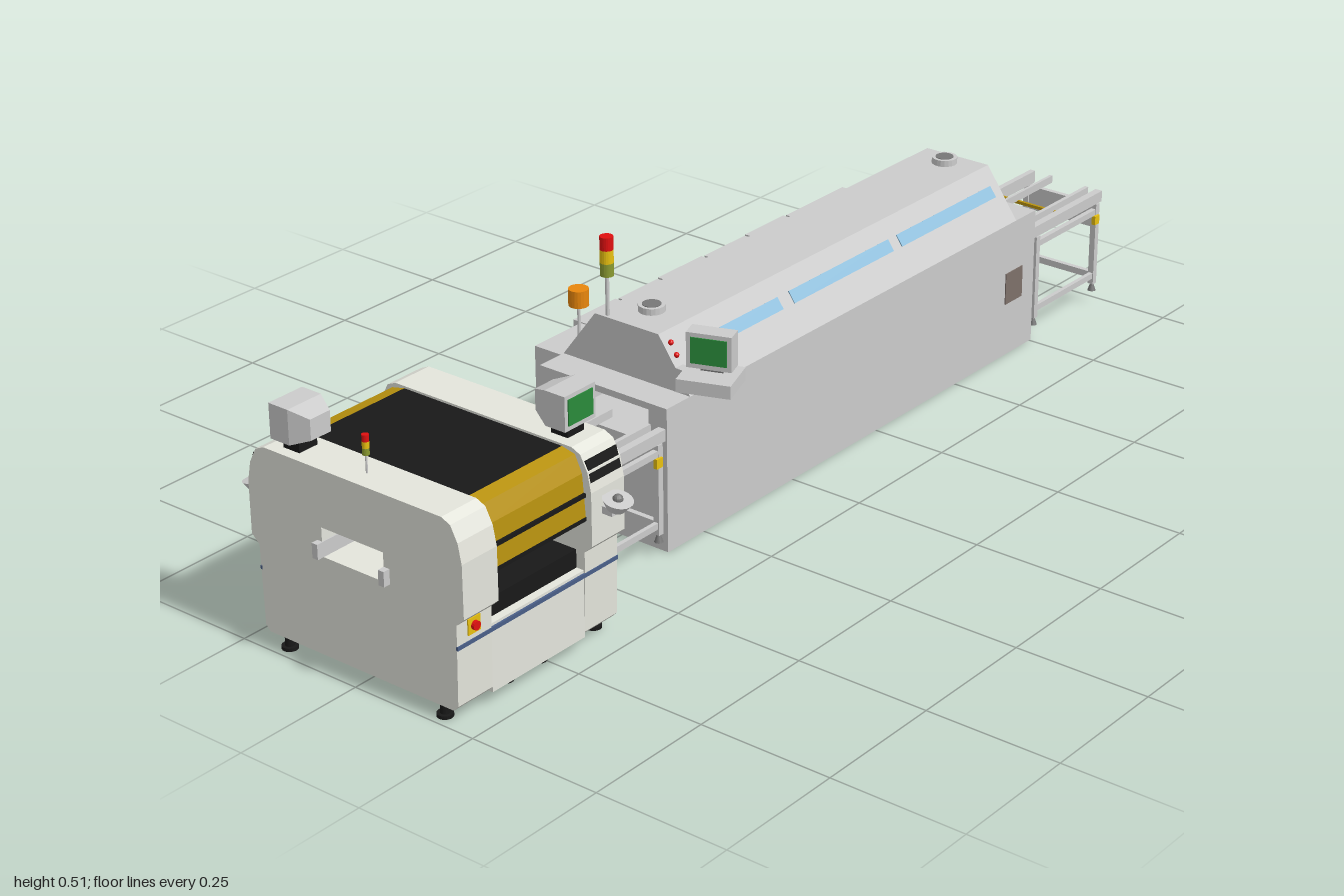
import * as THREE from 'three';

const mat = (color) => new THREE.MeshStandardMaterial({ color, flatShading: true, side: THREE.DoubleSide });
const M = {
  grey: mat(0xcccccc), shell: mat(0xe4e5dc), black: mat(0x181818), gold: mat(0xb8920f), blue: mat(0x8fbfdc),
  navy: mat(0x4a5f88), green: mat(0x2a8a3a), red: mat(0xe01010), yellow: mat(0xe8c010), olive: mat(0x8a9a30),
  orange: mat(0xe8860c), brown: mat(0x7d706a), dark: mat(0x777777),
};

function add(parent, name, geo, material, x = 0, y = 0, z = 0) {
  const m = new THREE.Mesh(geo, material);
  m.name = name;
  m.position.set(x, y, z);
  parent.add(m);
  return m;
}
// Box given by its extents
const box = (p, name, m, x0, x1, y0, y1, z0, z1) =>
  add(p, name, new THREE.BoxGeometry(x1 - x0, y1 - y0, z1 - z0), m, (x0 + x1) / 2, (y0 + y1) / 2, (z0 + z1) / 2);
// Upright cylinder from y0 to y1
const rod = (p, name, m, r, x, y0, y1, z, r2 = r) =>
  add(p, name, new THREE.CylinderGeometry(r2, r, y1 - y0, 20), m, x, (y0 + y1) / 2, z);
// [z, y] profile extruded along x, with optional holes
function prism(p, name, m, x0, x1, pts, holes = []) {
  const v = (a) => a.map(([z, y]) => new THREE.Vector2(-z, y));
  const s = new THREE.Shape(v(pts));
  holes.forEach((h) => s.holes.push(new THREE.Path(v(h))));
  const g = new THREE.ExtrudeGeometry(s, { depth: x1 - x0, bevelEnabled: false });
  g.rotateY(Math.PI / 2);
  return add(p, name, g, m, x0);
}
const rect = (z0, z1, y0, y1) => [[z0, y0], [z1, y0], [z1, y1], [z0, y1]];

function group(parent, name) {
  const g = new THREE.Group();
  g.name = name;
  parent.add(g);
  return g;
}

// Pole with stacked red, yellow and green lamps
function signalTower(parent, x, z, yBase, y0, y1, r) {
  const g = group(parent, 'signalTower');
  rod(g, 'pole', M.grey, r * 0.3, x, yBase, y0, z);
  const h = (y1 - y0) / 3;
  [M.olive, M.yellow, M.red].forEach((m, i) => rod(g, 'lamp', m, r, x, y0 + i * h, y0 + (i + 1) * h, z));
}

// Deep monitor facing +z, tapering to the back
function monitor(parent, name, w, h, d) {
  const g = group(parent, name);
  box(g, 'monitorCase', M.grey, -w / 2, w / 2, -h / 2, h / 2, -d * 0.55, 0);
  const back = new THREE.CylinderGeometry(0.42, Math.SQRT1_2, 1, 4, 1).rotateY(Math.PI / 4).rotateX(-Math.PI / 2);
  add(g, 'monitorBack', back, M.grey, 0, 0, -d * 0.775).scale.set(w, h, d * 0.45);
  box(g, 'screen', M.green, -w * 0.4, w * 0.4, -h * 0.36, h * 0.38, 0, 0.002);
  return g;
}

function conveyor(parent, x0, x1, endX) {
  const g = group(parent, 'conveyor');
  box(g, 'wideRail', M.grey, x0, x1, 0.21, 0.232, 0.085, 0.1);
  box(g, 'innerRail', M.grey, x0, x1, 0.21, 0.232, 0.06, 0.068);
  box(g, 'backRail', M.grey, x0, x1, 0.21, 0.235, -0.068, -0.057);
  box(g, 'guideRail', M.grey, x0, x1, 0.22, 0.235, -0.022, -0.016);
  box(g, 'endPanel', M.grey, endX - 0.004, endX + 0.004, 0.16, 0.21, -0.065, 0.1);
  for (const z of [-0.063, 0.096]) {
    box(g, 'lowerRail', M.grey, x0 + 0.01, x1 - 0.01, 0.188, 0.2, z - 0.005, z + 0.005);
    box(g, 'sideBrace', M.grey, x0 + 0.01, x1 - 0.01, 0.052, 0.064, z - 0.004, z + 0.004);
    for (const x of [x0 + 0.016, x1 - 0.016]) {
      box(g, 'leg', M.grey, x - 0.006, x + 0.006, 0.04, 0.21, z - 0.006, z + 0.006);
      rod(g, 'legFoot', M.dark, 0.008, x, 0.025, 0.04, z, 0.003);
    }
  }
  for (const x of [x0 + 0.016, x1 - 0.016]) {
    box(g, 'crossBrace', M.grey, x - 0.005, x + 0.005, 0.052, 0.065, -0.063, 0.096);
    box(g, 'topBrace', M.grey, x - 0.005, x + 0.005, 0.195, 0.21, -0.063, 0.096);
  }
  box(g, 'spindle', M.gold, (x0 + x1) / 2 - 0.003, (x0 + x1) / 2 + 0.003, 0.215, 0.221, -0.063, 0.096);
  box(g, 'switchBox', M.yellow, x1 - 0.03, x1 - 0.015, 0.17, 0.188, 0.098, 0.106);
  return g;
}

function oven(parent) {
  const g = group(parent, 'reflowOven');
  // Lower cabinet with the through tunnel
  prism(g, 'ovenBody', M.grey, -0.347, 0.755, rect(-0.178, 0.103, 0, 0.27), [rect(-0.12, 0.063, 0.197, 0.258)]);
  prism(g, 'hood', M.grey, -0.285, 0.69, [[0.103, 0.27], [0.035, 0.366], [-0.105, 0.366], [-0.178, 0.27]]);
  // Rear cabinets
  const seams = [-0.165, -0.045, 0.07, 0.2, 0.325, 0.447, 0.63];
  box(g, 'rearCabinet', M.grey, -0.29, -0.168, 0, 0.268, -0.24, -0.178);
  for (let i = 0; i < 6; i++) {
    box(g, 'rearCabinet', M.grey, seams[i], seams[i + 1] - 0.005, 0, 0.268, i % 2 ? -0.257 : -0.26, -0.178);
  }
  // Windows on both hood slopes
  for (const [a, b] of [[-0.227, 0.013], [0.045, 0.34], [0.366, 0.666]]) {
    for (const [z, tilt] of [[0.063, -0.62], [-0.135, 0.655]]) {
      const w = add(g, 'window', new THREE.BoxGeometry(b - a, 0.024, 0.004), M.blue, (a + b) / 2, 0.326, z);
      w.rotation.x = tilt;
    }
  }
  for (const x of [-0.215, 0.65]) {
    rod(g, 'exhaustPort', M.grey, 0.024, x, 0.36, 0.378, -0.037);
    rod(g, 'exhaustBore', M.dark, 0.017, x, 0.37, 0.379, -0.037);
  }
  box(g, 'vent', M.brown, 0.66, 0.715, 0.107, 0.17, 0.1, 0.105);
  signalTower(g, -0.277, -0.083, 0.36, 0.44, 0.512, 0.012);
  rod(g, 'beaconPole', M.grey, 0.003, -0.277, 0.29, 0.367, -0.148);
  rod(g, 'beacon', M.orange, 0.018, -0.277, 0.367, 0.398, -0.148);
  for (const [y, z] of [[0.35, 0.05], [0.33, 0.062]]) {
    add(g, 'button', new THREE.SphereGeometry(0.005, 10, 8), M.red, -0.27, y, z);
  }
  // Operator terminal on a swing arm
  const t = group(g, 'terminal');
  t.position.set(-0.295, 0.378, 0.158);
  t.rotation.y = -1.22;
  monitor(t, 'terminalMonitor', 0.08, 0.064, 0.06).position.z = 0.015;
  box(t, 'terminalStand', M.dark, -0.02, 0.02, -0.05, -0.032, -0.03, 0);
  box(t, 'keyboardTray', M.grey, -0.048, 0.048, -0.066, -0.042, -0.035, 0.045);
  box(g, 'swingArm', M.grey, -0.285, -0.265, 0.303, 0.314, 0.07, 0.15);
}

function placer(parent) {
  const g = group(parent, 'placementMachine');
  // Side housings: symmetric stepped profile with a pass-through slot
  const half = [[0.2, 0.025], [0.21, 0.035], [0.213, 0.18], [0.229, 0.195], [0.229, 0.29], [0.222, 0.325], [0.208, 0.352], [0.19, 0.36]];
  const profile = [...half, ...half.map(([z, y]) => [-z, y]).reverse()];
  for (const [a, b] of [[-0.987, -0.908], [-0.687, -0.607]]) {
    prism(g, 'sideHousing', M.shell, a, b, profile, [rect(-0.07, 0.063, 0.205, 0.257)]);
  }
  box(g, 'base', M.shell, -0.908, -0.687, 0.025, 0.147, -0.21, 0.21);
  box(g, 'feederBed', M.black, -0.908, -0.687, 0.147, 0.18, -0.195, 0.195);
  box(g, 'topCover', M.black, -0.908, -0.687, 0.34, 0.356, -0.17, 0.17);
  box(g, 'throughRail', M.grey, -1, -0.58, 0.205, 0.232, 0.063, 0.075);
  box(g, 'throughRail', M.grey, -1, -0.58, 0.205, 0.232, -0.08, -0.068);
  for (const s of [1, -1]) {
    // Sloped two-part cover with a dark seam
    const cover = [[0.17, 0.356], [0.197, 0.35], [0.211, 0.32], [0.217, 0.245], [0.207, 0.245], [0.2, 0.315], [0.17, 0.34]];
    prism(g, 'safetyCover', M.gold, -0.908, -0.687, cover.map(([z, y]) => [z * s, y]));
    box(g, 'coverSeam', M.black, -0.908, -0.687, 0.28, 0.287, s * 0.215 - 0.003, s * 0.215 + 0.003);
    box(g, 'coverSill', M.black, -0.908, -0.687, 0.238, 0.245, s * 0.212 - 0.006, s * 0.212 + 0.006);
    box(g, 'trimStripe', M.navy, -0.987, -0.607, 0.135, 0.142, s * 0.212 - 0.002, s * 0.212 + 0.002);
    for (const x of [-0.975, -0.835, -0.755, -0.62]) {
      rod(g, 'footPad', M.black, 0.014, x, 0, 0.006, s * 0.17);
      rod(g, 'footStem', M.black, 0.008, x, 0.006, 0.03, s * 0.17);
    }
  }
  // One operator station per face, turned half round about the machine centre
  for (const turn of [0, Math.PI]) {
    const st = group(g, 'operatorStation');
    st.position.x = -0.797;
    st.rotation.y = turn;
    monitor(st, 'stationMonitor', 0.074, 0.062, 0.075).position.set(0.15, 0.41, 0.175);
    box(st, 'monitorStand', M.black, 0.13, 0.17, 0.358, 0.38, 0.13, 0.165);
    const panel = box(st, 'controlPanel', M.black, 0.113, 0.187, 0.305, 0.342, 0.215, 0.222);
    panel.rotation.x = -0.27;
    const tray = add(st, 'trackballTray', new THREE.CylinderGeometry(0.026, 0.016, 0.018, 20), M.grey, 0.15, 0.262, 0.248);
    tray.rotation.x = 0.25;
    add(st, 'trackball', new THREE.SphereGeometry(0.009, 12, 8), M.dark, 0.15, 0.271, 0.25);
    box(st, 'trayBracket', M.grey, 0.135, 0.165, 0.245, 0.258, 0.225, 0.25);
    box(st, 'stopPlate', M.yellow, -0.166, -0.138, 0.152, 0.18, 0.208, 0.215);
    const stop = add(st, 'stopButton', new THREE.CylinderGeometry(0.008, 0.008, 0.008, 14), M.red, -0.152, 0.166, 0.217);
    stop.rotation.x = Math.PI / 2;
  }
  signalTower(g, -0.95, 0, 0.355, 0.392, 0.427, 0.006);
}

export function createModel() {
  const root = new THREE.Group();
  root.name = 'assemblyLine';
  placer(root);
  conveyor(root, -0.587, -0.347, -0.57);
  oven(root);
  conveyor(root, 0.755, 0.995, 0.98);
  return root;
}
